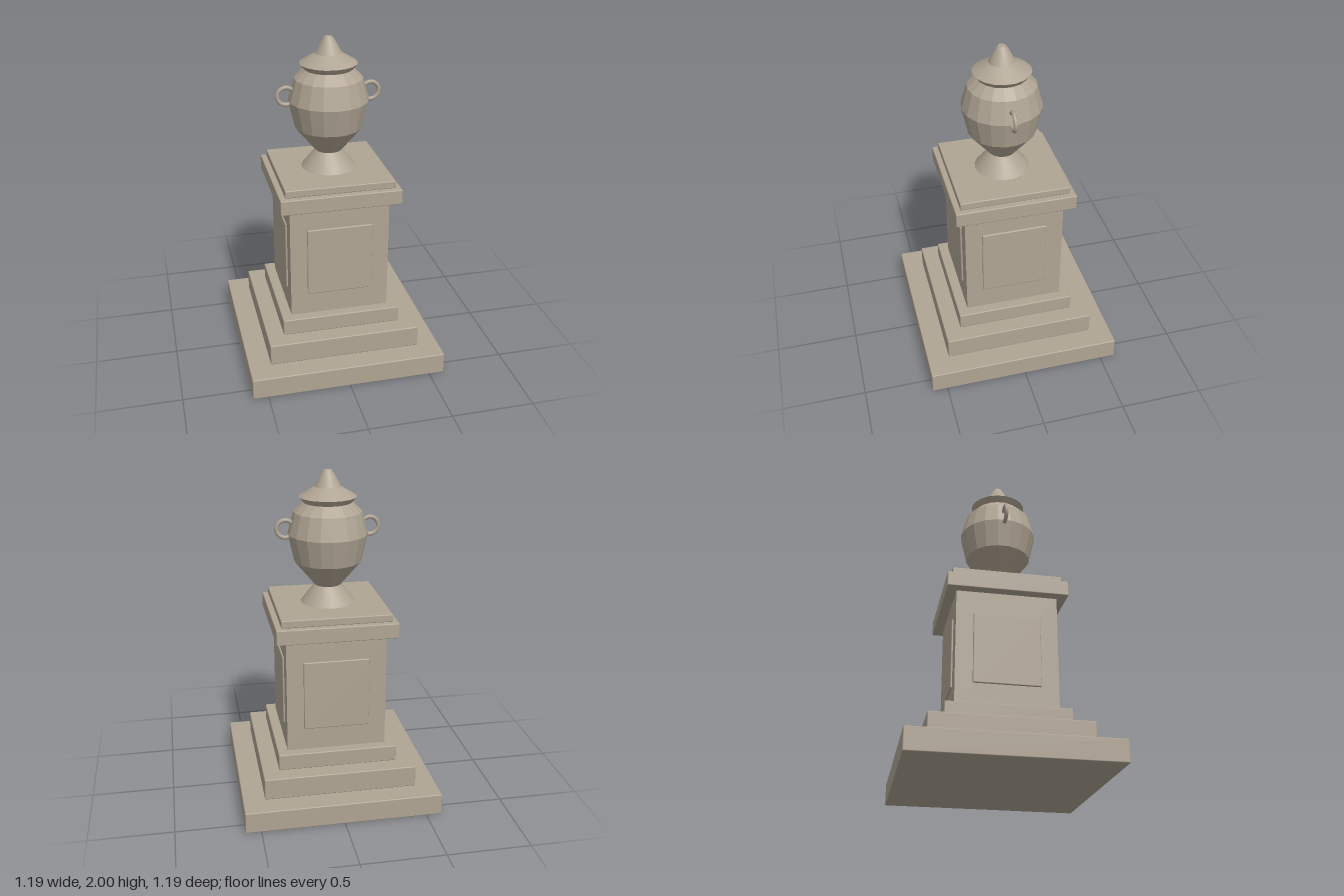
import * as THREE from 'three';
import { toCreasedNormals } from 'three/addons/utils/BufferGeometryUtils.js';
import { RoundedBoxGeometry } from 'three/addons/geometries/RoundedBoxGeometry.js';

const SIDES = 18;

export function createModel() {
  const model = new THREE.Group();
  model.name = 'urnOnPedestal';
  const stone = new THREE.MeshStandardMaterial({ color: 0xb0a594 });
  stone.name = 'stone';

  const add = (name, geometry, parent = model) => {
    const mesh = new THREE.Mesh(geometry, stone);
    mesh.name = name;
    parent.add(mesh);
    return mesh;
  };

  // Square slabs with softened edges: half width, bottom, top
  const slabs = [
    ['plinth', 0.593, 0, 0.132],
    ['middleStep', 0.461, 0.132, 0.264],
    ['upperStep', 0.361, 0.264, 0.364],
    ['capital', 0.361, 1.068, 1.16],
    ['capitalTop', 0.328, 1.16, 1.206],
  ];
  for (const [name, half, y0, y1] of slabs) {
    const slab = add(name, new RoundedBoxGeometry(half * 2, y1 - y0, half * 2, 1, 0.006));
    slab.position.y = (y0 + y1) / 2;
  }

  // Shaft with a raised panel on each face
  add('shaft', new THREE.BoxGeometry(0.6, 0.72, 0.6)).position.y = 0.716;
  for (let i = 0; i < 4; i++) {
    const side = new THREE.Group();
    side.name = 'panelSide' + (i + 1);
    side.rotation.y = (i * Math.PI) / 2;
    model.add(side);
    add('panel', new RoundedBoxGeometry(0.396, 0.43, 0.03, 1, 0.006), side).position.set(0, 0.715, 0.295);
  }

  // Urn, turned from profiles of [radius, height]
  const turned = (points) =>
    new THREE.LatheGeometry(points.map(([r, y]) => new THREE.Vector2(r, y)), SIDES);
  const smoothTurned = (points) => toCreasedNormals(turned(points), 0.36);
  const foot = [[0.165, 1.2], [0.165, 1.206], [0.08, 1.313]];
  const body = [[0.08, 1.313], [0.201, 1.46], [0.238, 1.625], [0.202, 1.757], [0.145, 1.812]];
  const lid = [[0.145, 1.812], [0.171, 1.845], [0.078, 1.902], [0.033, 1.985], [0.022, 1.998], [0, 2]];
  add('urnFoot', smoothTurned(foot));
  add('urnBody', toCreasedNormals(turned(body), 0.05));
  add('urnLid', smoothTurned(lid));

  // Ring handles
  for (const s of [1, -1]) {
    const ring = add(s > 0 ? 'leftHandle' : 'rightHandle', new THREE.TorusGeometry(0.052, 0.0125, 8, 24));
    ring.position.set(s * 0.253, 1.659, 0);
  }
  return model;
}
